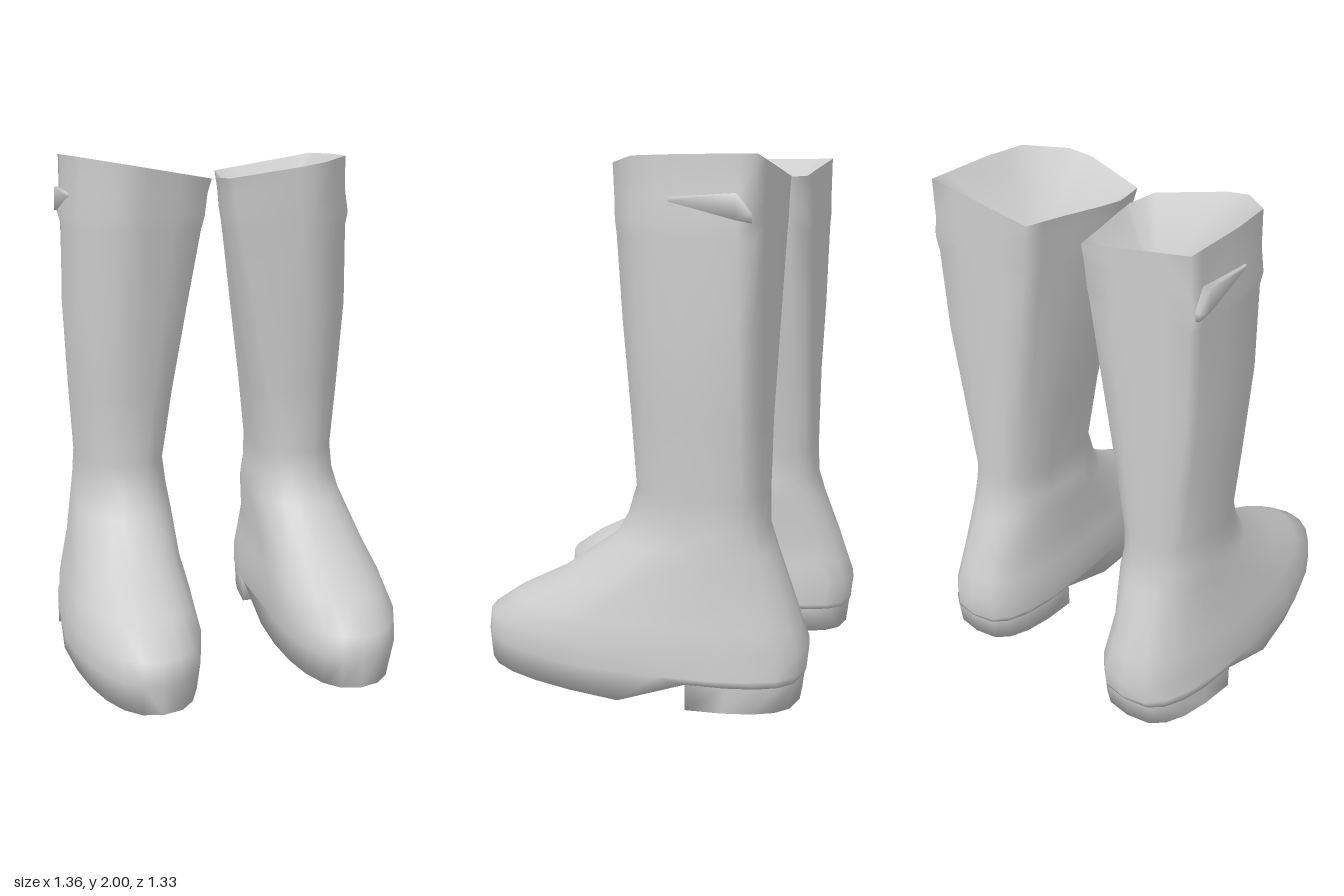
import * as THREE from 'three';

const N = 24; // points around each section

// Horizontal sections of the left foot, from the sole up to the ankle:
// y, inner x, outer x, back z, front z, widest z, back centre x, front centre x, back and front squareness
const FOOT = [
  [0.00, 0.195, 0.665, -0.65, 0.655, 0.00, 0.41, 0.39, 3, 2.4],
  [0.12, 0.18, 0.68, -0.658, 0.665, 0.15, 0.40, 0.39, 2.8, 2.2],
  [0.21, 0.175, 0.67, -0.667, 0.655, 0.15, 0.40, 0.39, 2.7, 2.2],
  [0.30, 0.18, 0.65, -0.635, 0.53, 0.10, 0.40, 0.39, 2.6, 2.1],
  [0.40, 0.19, 0.62, -0.60, 0.34, 0.00, 0.40, 0.39, 2.5, 2.1],
  [0.57, 0.185, 0.585, -0.53, 0.11, -0.18, 0.39, 0.37, 2.5, 2.1],
  [0.66, 0.20, 0.57, -0.50, 0.06, -0.22, 0.39, 0.36, 2.5, 2.2],
  [0.77, 0.215, 0.565, -0.495, 0.025, -0.23, 0.38, 0.36, 2.6, 2.3],
];

// Outline of the opening (x, z), from the front centre round the outer side
const RIM = [
  [0.31, 0.12], [0.41, 0.105], [0.54, -0.02], [0.56, -0.20], [0.56, -0.36], [0.56, -0.49],
  [0.34, -0.49], [0.12, -0.49], [0.085, -0.34], [0.045, -0.19], [0.02, -0.08], [0.04, 0.05],
];

// Shaft sections: y, blend from ankle to rim, outward bulge of the outer side
const SHAFT = [
  [1.05, 0.22, 0.015], [1.40, 0.54, 0.028], [1.72, 0.82, 0.014],
  [1.77, 0.88, 0.022], [1.86, 0.93, 0.006], [1.957, 1, 0],
];

// Height of the upper's lower edge: flat sole, rising arch, raised heel seat
const soleHeight = (z) => (z > 0 ? 0 : Math.min(0.1, (-z / 0.26) * 0.1));

function footRing([y, xi, xo, zb, zf, zm, xb, xf, nb, nf], r) {
  const points = [];
  for (let i = 0; i < N; i++) {
    const t = (i / N) * Math.PI * 2, c = Math.cos(t), s = Math.sin(t);
    const front = c > 0, e = 2 / (front ? nf : nb);
    const u = Math.abs(c) < 1e-9 ? 0 : Math.abs(c) ** e;
    const w = Math.abs(s) < 1e-9 ? 0 : Math.sign(s) * Math.abs(s) ** e;
    const x = THREE.MathUtils.lerp((xi + xo) / 2, front ? xf : xb, u) + ((xo - xi) / 2) * w;
    const z = zm + (front ? zf - zm : zb - zm) * u;
    points.push([x, r === 0 ? soleHeight(z) : y, z]);
  }
  return points;
}

// Blends the ankle outline into the rim, which slants up to the outer side
function shaftRing(ankle, [y, blend, bulge]) {
  return ankle.map(([ax, , az], i) => {
    const a = RIM[Math.floor(i / 2)], b = RIM[Math.ceil(i / 2) % RIM.length];
    const x = THREE.MathUtils.lerp(ax, (a[0] + b[0]) / 2, blend);
    const z = THREE.MathUtils.lerp(az, (a[1] + b[1]) / 2, blend);
    const tilt = blend === 1 ? (x - 0.3) * 0.165 : 0;
    return [x + bulge * THREE.MathUtils.clamp((x - 0.35) / 0.15, 0, 1), y + tilt, z];
  });
}

// Builds a mesh; side -1 mirrors it and turns its faces back outwards
function makeMesh(name, points, faces, side) {
  const geometry = new THREE.BufferGeometry();
  geometry.setAttribute('position', new THREE.Float32BufferAttribute(points.flatMap(([x, y, z]) => [x * side, y, z]), 3));
  geometry.setIndex(faces.flatMap(([a, b, c]) => (side > 0 ? [a, b, c] : [a, c, b])));
  geometry.computeVertexNormals();
  const mesh = new THREE.Mesh(geometry, new THREE.MeshStandardMaterial({ color: 0xcccccc, side: THREE.DoubleSide }));
  mesh.name = name;
  return mesh;
}

// Walls between stacked rings of n points each
function wallFaces(count, n) {
  const faces = [];
  for (let r = 0; r < count - 1; r++) {
    for (let i = 0; i < n; i++) {
      const a = r * n + i, b = r * n + ((i + 1) % n);
      faces.push([a, b, b + n], [a, b + n, a + n]);
    }
  }
  return faces;
}

// Downward cap joining each point of the first ring to its partner across
function soleFaces() {
  const faces = [];
  for (let i = 0; i < N / 2; i++) {
    const a = i, b = i + 1, c = (N - i) % N, d = N - i - 1;
    faces.push([a, d, b], [a, c, d]);
  }
  return faces;
}

function createBoot(side) {
  const boot = new THREE.Group();
  boot.name = side > 0 ? 'leftBoot' : 'rightBoot';
  const foot = FOOT.map(footRing);
  const ankle = foot[foot.length - 1];
  const rings = [...foot, ...SHAFT.map((section) => shaftRing(ankle, section))];

  // Sole, foot and shaft in one smooth skin
  boot.add(makeMesh('upper', rings.flat(), [...wallFaces(rings.length, N), ...soleFaces()], side));

  // Heel continuing the back of the foot down to the ground
  const seat = rings[0].filter((p) => p[2] < -0.24);
  const n = seat.length;
  const base = seat.map(([x, , z]) => [x, 0, z < -0.3 ? z + 0.012 : z]);
  const heelFaces = wallFaces(2, n);
  for (let i = 1; i < n - 1; i++) heelFaces.push([0, i + 1, i]);
  boot.add(makeMesh('heel', [...base, ...seat], heelFaces, side));

  // Lining sinking from the rim
  const lining = rings[0].map((_, i) => [i, (i + 1) % N, N]);
  boot.add(makeMesh('lining', [...rings[rings.length - 1], [0.27, 1.72, -0.27]], lining, side));

  // Folded flap on the outside of the collar, tapering towards the front
  const flap = [[-0.17, 1.84, 1.855, 0.572], [-0.42, 1.78, 1.87, 0.59], [-0.475, 1.77, 1.80, 0.585]].map(
    ([z, low, high, x]) => [[0.54, low, z], [x, low, z], [x, high, z], [0.54, high, z]]);
  const flapFaces = wallFaces(3, 4).map(([a, b, c]) => [a, c, b]);
  flapFaces.push([0, 1, 2], [0, 2, 3], [8, 10, 9], [8, 11, 10]);
  boot.add(makeMesh('collarFlap', flap.flat(), flapFaces, side));
  return boot;
}

export function createModel() {
  const model = new THREE.Group();
  model.name = 'boots';
  for (const side of [1, -1]) model.add(createBoot(side));
  return model;
}
